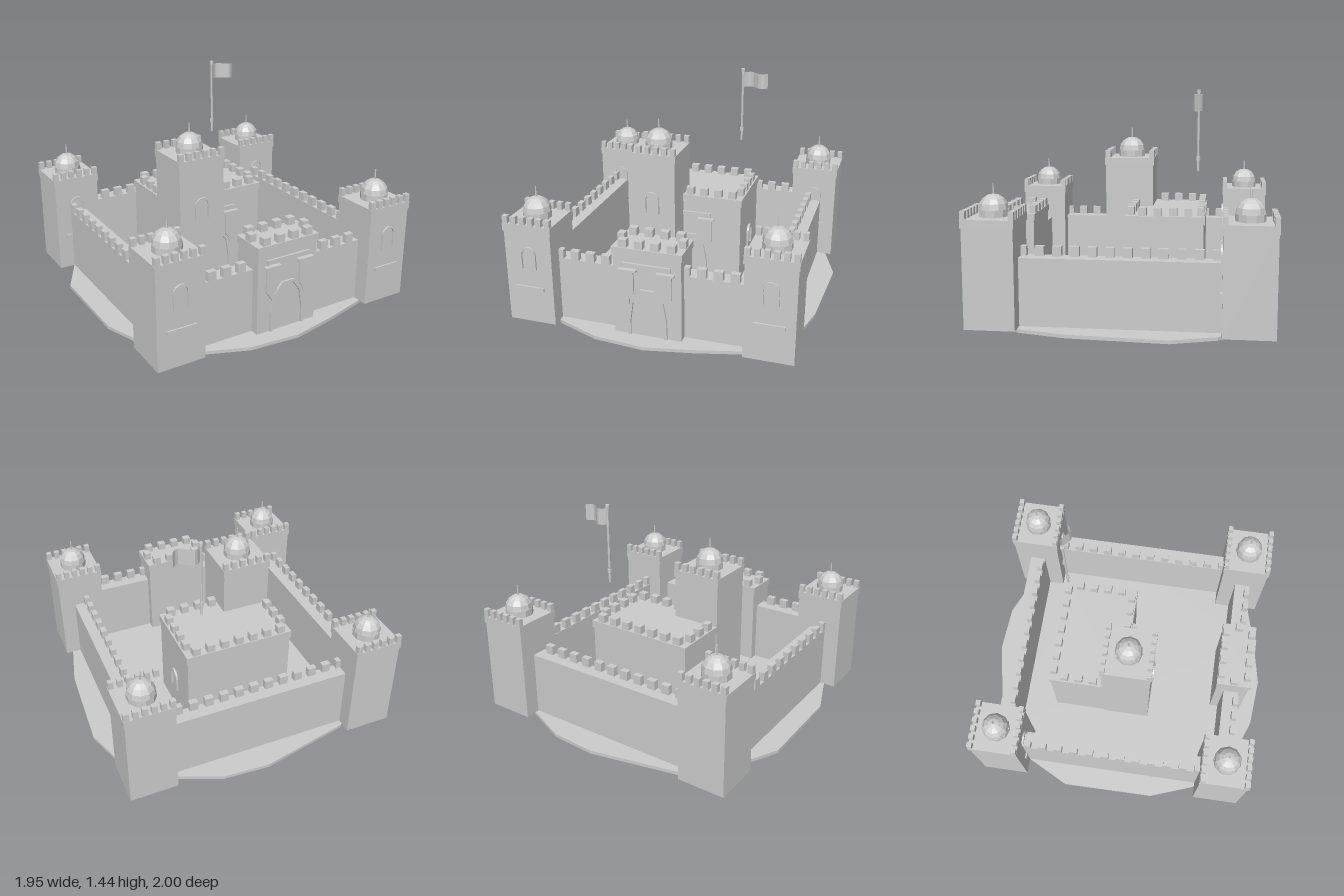
import * as THREE from 'three';

const stone = new THREE.MeshStandardMaterial({ color: 0xcccccc, flatShading: true, side: THREE.DoubleSide });
stone.name = 'pale stone';

function add(parent, name, geometry, x = 0, y = 0, z = 0) {
  const mesh = new THREE.Mesh(geometry, stone);
  mesh.name = name;
  mesh.position.set(x, y, z);
  parent.add(mesh);
  return mesh;
}

// Box given by its limits on each axis
function block(parent, name, x0, x1, y0, y1, z0, z1, openBottom = false) {
  const geometry = new THREE.BoxGeometry(x1 - x0, y1 - y0, z1 - z0);
  if (openBottom) {
    const index = Array.from(geometry.index.array);
    index.splice(18, 6);
    geometry.setIndex(index);
    geometry.clearGroups();
  }
  return add(parent, name, geometry, (x0 + x1) / 2, (y0 + y1) / 2, (z0 + z1) / 2);
}

function merlon(parent, x, y, z, w, h, d) {
  block(parent, 'merlon', x - w / 2, x + w / 2, y, y + h, z - d / 2, z + d / 2);
}

function plate(parent, name, points, depth, x, y, z) {
  const shape = new THREE.Shape(points.map(([px, py]) => new THREE.Vector2(px, py)));
  return add(parent, name, new THREE.ExtrudeGeometry(shape, { depth, bevelEnabled: false }), x, y, z);
}

// Round-headed frame, open at the foot
function archFrame(parent, name, x, y, z, radius, legHeight, width, segments = 8) {
  const outline = (r, reverse) => {
    const pts = [[-r, 0]];
    for (let i = 0; i <= segments; i++) {
      const a = Math.PI * (1 - i / segments);
      pts.push([r * Math.cos(a), legHeight + r * Math.sin(a)]);
    }
    pts.push([r, 0]);
    return reverse ? pts.reverse() : pts;
  };
  return plate(parent, name, [...outline(radius), ...outline(radius - width, true)], 0.014, x, y, z);
}

// Square tower with lip, merlons on front and back, dome and spire
function makeTower(name, x, z, half, top) {
  const tower = new THREE.Group();
  tower.name = name;
  tower.position.set(x, 0, z);
  const b = half - 0.006;
  block(tower, 'towerBody', -b, b, 0.02, top - 0.01, -b, b, true);
  block(tower, 'towerLip', -half, half, top - 0.05, top, -half, half);
  for (const side of [-1, 1]) {
    for (let i = 0; i < 6; i++) {
      merlon(tower, (i / 2.5 - 1) * (half - 0.02), top, side * (half - 0.017), 0.034, 0.05, 0.032);
    }
  }
  add(tower, 'domeDrum', new THREE.CylinderGeometry(0.091, 0.091, 0.045, 10), 0, top + 0.022, 0);
  add(tower, 'dome', new THREE.SphereGeometry(0.091, 10, 4, 0, Math.PI * 2, 0, Math.PI / 2), 0, top + 0.045, 0);
  add(tower, 'spire', new THREE.CylinderGeometry(0.004, 0.006, 0.07, 6), 0, top + 0.165, 0);
  return tower;
}

// Portal frame with straight-sided arch, lintel and two brackets
function makePortal(x, z) {
  const portal = new THREE.Group();
  portal.name = 'portal';
  portal.position.set(x, 0, z);
  const outer = [[-0.128, 0.02], [-0.125, 0.15], [-0.105, 0.27], [-0.045, 0.345],
    [0.045, 0.345], [0.105, 0.27], [0.125, 0.15], [0.128, 0.02]];
  const inner = outer.map(([px, py]) => [px * 0.86, py > 0.02 ? py - 0.018 : py]).reverse();
  plate(portal, 'portalArch', [...outer, ...inner], 0.014, 0, 0, 0);
  block(portal, 'lintel', -0.155, 0.155, 0.485, 0.515, 0, 0.014);
  for (const s of [-1, 1]) {
    plate(portal, 'bracket', [[0.085, 0.465], [0.16, 0.465], [0.16, 0.3], [0.115, 0.235],
      [0.115, 0.27], [0.085, 0.305]].map(([px, py]) => [s * px, py]), 0.014, 0, 0, 0);
    const cap = s * 0.122;
    block(portal, 'bracketCap', cap - 0.058, cap + 0.058, 0.463, 0.476, 0, 0.03);
  }
  return portal;
}

function makeFlag() {
  const flag = new THREE.Group();
  flag.name = 'flag';
  flag.position.set(0.24, 0, -0.45);
  add(flag, 'flagPole', new THREE.CylinderGeometry(0.008, 0.008, 0.51, 8), 0, 1.175, 0);
  add(flag, 'poleTop', new THREE.CylinderGeometry(0.014, 0.014, 0.022, 8), 0, 1.43, 0);
  add(flag, 'poleCollar', new THREE.CylinderGeometry(0.014, 0.014, 0.025, 8), 0, 1.0, 0);
  const cloth = new THREE.PlaneGeometry(0.17, 0.105, 8, 1);
  const p = cloth.attributes.position;
  for (let i = 0; i < p.count; i++) {
    const t = p.getX(i) / 0.17 + 0.5;
    p.setZ(i, -0.028 * Math.sin(t * Math.PI * 2));
  }
  cloth.computeVertexNormals();
  add(flag, 'flagCloth', cloth, 0.093, 1.362, 0);
  return flag;
}

export function createModel() {
  const castle = new THREE.Group();
  castle.name = 'castle';

  // Irregular ground slab
  const rim = [[0, -1], [0.31, -0.98], [0.62, -0.85], [0.88, -0.6], [0.975, -0.32], [0.94, 0.3],
    [0.87, 0.6], [0.61, 0.86], [0.3, 0.94], [0, 1], [-0.33, 0.97], [-0.61, 0.86],
    [-0.86, 0.6], [-0.97, 0.3], [-0.975, -0.33], [-0.83, -0.62], [-0.61, -0.87]];
  const slab = plate(castle, 'groundSlab', rim.map(([x, z]) => [x, -z]), 0.022, 0, 0, 0);
  slab.rotation.x = -Math.PI / 2;

  // Corner towers, each with a window and slot on the front
  for (const x of [-0.777, 0.757]) {
    for (const z of [-0.775, 0.762]) {
      const tower = makeTower('cornerTower', x, z, 0.163, 0.69);
      archFrame(tower, 'windowFrame', 0, 0.395, 0.155, 0.053, 0.1, 0.013);
      block(tower, 'slotLedge', -0.095, 0.095, 0.245, 0.272, 0.155, 0.168);
      castle.add(tower);
    }
  }

  // Curtain walls with a single row of merlons
  const walls = new THREE.Group();
  walls.name = 'curtainWalls';
  castle.add(walls);
  for (const [x0, x1, mx] of [[-0.83, -0.72, -0.812], [0.7, 0.81, 0.722]]) {
    block(walls, 'sideWall', x0, x1, 0.02, 0.445, -0.63, 0.63);
    for (let i = 0; i < 12; i++) merlon(walls, mx, 0.445, 0.598 - i * 0.108, 0.037, 0.06, 0.056);
  }
  for (const [z0, z1, mz] of [[-0.83, -0.725, -0.743], [0.71, 0.815, 0.797]]) {
    block(walls, 'crossWall', -0.63, 0.61, 0.02, 0.445, z0, z1);
    for (let i = 0; i < 12; i++) {
      const x = -0.615 + i * 0.1035;
      if (mz < 0 || Math.abs(x + 0.01) > 0.2) merlon(walls, x, 0.445, mz, 0.056, 0.06, 0.037);
    }
  }

  // Gatehouse
  const gate = new THREE.Group();
  gate.name = 'gatehouse';
  castle.add(gate);
  block(gate, 'gateBody', -0.228, 0.208, 0.02, 0.6, 0.652, 0.872);
  block(gate, 'gateLip', -0.235, 0.215, 0.565, 0.61, 0.645, 0.879);
  for (const z of [0.67, 0.85]) {
    for (let i = 0; i < 4; i++) merlon(gate, -0.165 + i * 0.103, 0.61, z, 0.052, 0.05, 0.045);
  }
  for (const x of [-0.207, 0.188]) merlon(gate, x, 0.61, 0.76, 0.045, 0.05, 0.052);
  gate.add(makePortal(-0.01, 0.872));

  // Keep with its own portal and a side window
  const keep = new THREE.Group();
  keep.name = 'keep';
  castle.add(keep);
  block(keep, 'keepBody', -0.376, 0.354, 0.02, 0.625, -0.494, 0.006);
  block(keep, 'keepLip', -0.382, 0.362, 0.585, 0.635, -0.502, 0.012);
  for (let i = 0; i < 7; i++) {
    const x = -0.31 + i * 0.1;
    merlon(keep, x, 0.635, -0.473, 0.052, 0.052, 0.045);
    if (x > -0.05) merlon(keep, x, 0.635, -0.02, 0.052, 0.052, 0.045);
  }
  for (let i = 0; i < 4; i++) {
    const z = -0.395 + i * 0.099;
    merlon(keep, 0.33, 0.635, z, 0.045, 0.052, 0.052);
    if (i < 3) merlon(keep, -0.35, 0.635, z, 0.045, 0.052, 0.052);
  }
  keep.add(makePortal(-0.01, 0.006));
  archFrame(keep, 'sideWindowFrame', 0.354, 0.2, -0.25, 0.053, 0.1, 0.013).rotation.y = Math.PI / 2;

  // Great tower beside the keep
  const great = makeTower('greatTower', -0.22, 0.032, 0.17, 0.97);
  archFrame(great, 'windowFrame', 0, 0.55, 0.163, 0.053, 0.1, 0.013);
  castle.add(great);

  castle.add(makeFlag());
  return castle;
}
